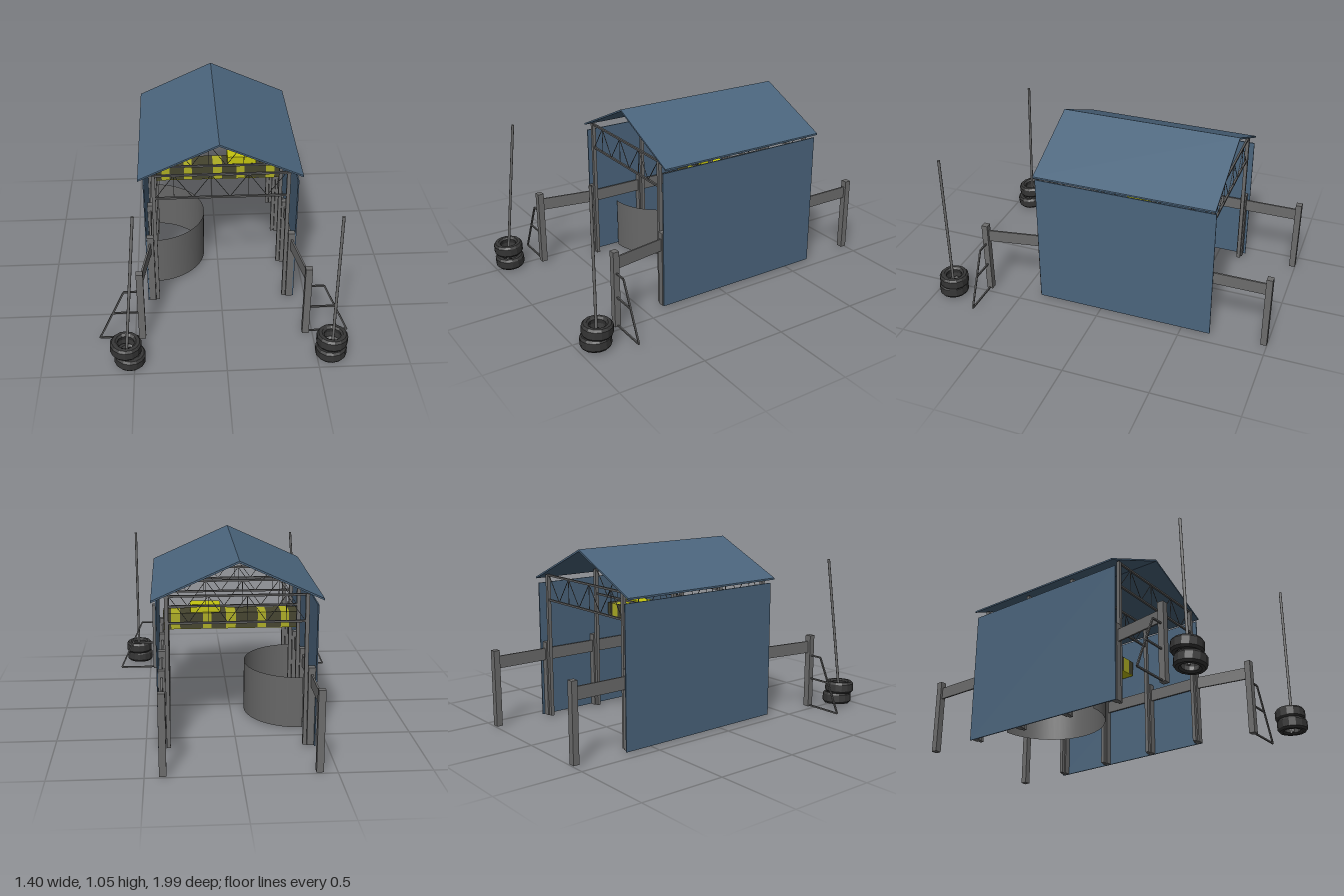
import * as THREE from 'three';

export function createModel() {
  const model = new THREE.Group();
  const mat = (name, color, opts = {}) => {
    const m = new THREE.MeshStandardMaterial({ color, ...opts });
    m.name = name;
    return m;
  };
  const cladding = mat('blue cladding', 0x4b657d, { side: THREE.DoubleSide });
  const steel = mat('grey steel', 0x6c6c6c);
  const sheet = mat('grey sheet', 0x676767, { side: THREE.DoubleSide });
  const pipe = mat('dark pipe', 0x5a5a5a);
  const rubber = mat('black rubber', 0x363636, { flatShading: true });
  const yellow = mat('yellow paint', 0xc4c40e);
  const stripeYellow = mat('stripe yellow', 0xaeae24);
  const stripeDark = mat('stripe dark', 0x45442f);

  const add = (name, geo, material, parent = model) => {
    const mesh = new THREE.Mesh(geo, material);
    mesh.name = name;
    parent.add(mesh);
    return mesh;
  };
  // Box given by its min and max on each axis
  const box = (name, [x0, x1], [y0, y1], [z0, z1], material, parent) => {
    const mesh = add(name, new THREE.BoxGeometry(x1 - x0, y1 - y0, z1 - z0), material, parent);
    mesh.position.set((x0 + x1) / 2, (y0 + y1) / 2, (z0 + z1) / 2);
    return mesh;
  };
  // Box or rod running between two points
  const beam = (name, a, b, width, height, material, parent, round = false) => {
    const p = new THREE.Vector3(...a), q = new THREE.Vector3(...b);
    const len = p.distanceTo(q);
    const geo = round
      ? new THREE.CylinderGeometry(width / 2, width / 2, len, 10).rotateX(Math.PI / 2)
      : new THREE.BoxGeometry(width, height, len);
    const mesh = add(name, geo, material, parent);
    mesh.position.copy(p).add(q).multiplyScalar(0.5);
    mesh.lookAt(q);
    return mesh;
  };

  // Gabled roof
  const roofShape = new THREE.Shape([
    [-0.46, 0.839], [-0.01, 1.045], [0.455, 0.839], [0.455, 0.849], [-0.01, 1.056], [-0.46, 0.849],
  ].map(([x, y]) => new THREE.Vector2(x, y)));
  const roof = add('roof', new THREE.ExtrudeGeometry(roofShape, { depth: 1.056, bevelEnabled: false }), cladding);
  roof.position.z = -0.67;

  const stations = [0.373, 0.037, -0.301, -0.638];
  for (const s of [1, -1]) {
    // Side wall
    add('sideWall', new THREE.BoxGeometry(0.007, 0.805, 1.056), cladding)
      .position.set(s * 0.428, 0.413, -0.142);

    // Tall frame posts with short barrier posts beside them
    for (const z of stations) {
      add('framePost', new THREE.BoxGeometry(0.021, 0.857, 0.021), steel).position.set(s * 0.374, 0.44, z);
      add('barrierPost', new THREE.BoxGeometry(0.038, 0.45, 0.036), steel).position.set(s * 0.405, 0.236, z);
    }
    add('backPost', new THREE.BoxGeometry(0.038, 0.45, 0.036), steel).position.set(s * 0.405, 0.236, -0.982);
    add('frontPost', new THREE.BoxGeometry(0.038, 0.45, 0.036), steel).position.set(s * 0.46, 0.236, 0.71);

    // Guard rail, splayed outwards at the front
    beam('guardRail', [s * 0.405, 0.388, -0.98], [s * 0.405, 0.388, 0.385], 0.01, 0.072, steel);
    beam('splayedRail', [s * 0.405, 0.388, 0.385], [s * 0.46, 0.388, 0.71], 0.01, 0.072, steel);

    // Pipe brace beside the front post
    const brace = new THREE.Group();
    brace.name = 'pipeBrace';
    model.add(brace);
    const lines = [
      [0.475, 0.335, 0.55, 0.335], [0.55, 0.335, 0.698, 0.016],
      [0.475, 0.016, 0.698, 0.016], [0.475, 0.19, 0.618, 0.19],
    ];
    for (const [x0, y0, x1, y1] of lines)
      beam('braceBar', [s * x0, y0, 0.71], [s * x1, y1, 0.71], 0.009, 0.009, pipe, brace);
  }

  // Roof trusses: two chords, zigzag web and verticals
  for (const z of stations) {
    const truss = new THREE.Group();
    truss.name = 'roofTruss';
    model.add(truss);
    box('topChord', [-0.375, 0.375], [0.86, 0.871], [z - 0.006, z + 0.006], pipe, truss);
    box('bottomChord', [-0.375, 0.375], [0.714, 0.725], [z - 0.006, z + 0.006], pipe, truss);
    for (let i = 0; i < 7; i++) {
      const x0 = -0.365 + i * 0.1036, x1 = x0 + 0.1036;
      const up = i % 2 === 0;
      beam('webDiagonal', [x0, up ? 0.72 : 0.865, z], [x1, up ? 0.865 : 0.72, z], 0.003, 0.003, pipe, truss);
      if (up && i < 6) beam('webVertical', [x1, 0.72, z], [x1, 0.865, z], 0.003, 0.003, pipe, truss);
    }
  }

  // Striped crossbeam with yellow underside and a box on top
  const edges = [-0.4, -0.335, -0.287, -0.2, -0.152, -0.024, 0.032, 0.118, 0.167, 0.298, 0.35, 0.395];
  const crossbeam = new THREE.Group();
  crossbeam.name = 'crossbeam';
  model.add(crossbeam);
  for (let i = 0; i < edges.length - 1; i++)
    box('beamStripe', [edges[i], edges[i + 1]], [0.558, 0.65], [-0.2, -0.08],
      i % 2 ? stripeYellow : stripeDark, crossbeam);
  box('beamUnderside', [-0.4, 0.395], [0.555, 0.558], [-0.2, -0.08], yellow, crossbeam);
  box('topBox', [0.065, 0.238], [0.65, 0.696], [-0.185, -0.095], yellow, crossbeam);

  // Half-round screen standing inside
  add('curvedScreen', new THREE.CylinderGeometry(0.313, 0.313, 0.305, 32, 1, true, 0, Math.PI), sheet)
    .position.set(-0.394, 0.166, -0.1);

  // Tyre stacks, each holding a pole
  const tyreProfile = [
    [0.046, -0.026], [0.058, -0.035], [0.076, -0.035], [0.086, -0.022], [0.086, 0.022],
    [0.076, 0.035], [0.058, 0.035], [0.046, 0.026], [0.052, 0], [0.046, -0.026],
  ].map(([r, y]) => new THREE.Vector2(r, y));
  const tyreGeo = new THREE.LatheGeometry(tyreProfile, 14);
  const tyres = [
    [0.576, 0.047, 0.9, 0.02, 0.03], [0.58, 0.114, 0.89, -0.02, -0.02],
    [-0.524, 0.047, 0.905, 0.06, -0.07], [-0.544, 0.12, 0.902, 0.05, -0.04],
  ];
  for (const [x, y, z, rx, rz] of tyres) {
    const tyre = add('tyre', tyreGeo, rubber);
    tyre.position.set(x, y, z);
    tyre.rotation.set(rx, 0, rz);
  }
  beam('uprightPole', [0.583, 0.012, 0.898], [0.583, 0.92, 0.898], 0.016, 0, steel, model, true);
  beam('leaningPole', [-0.547, 0.02, 0.91], [-0.47, 0.92, 0.845], 0.016, 0, steel, model, true);

  return model;
}
